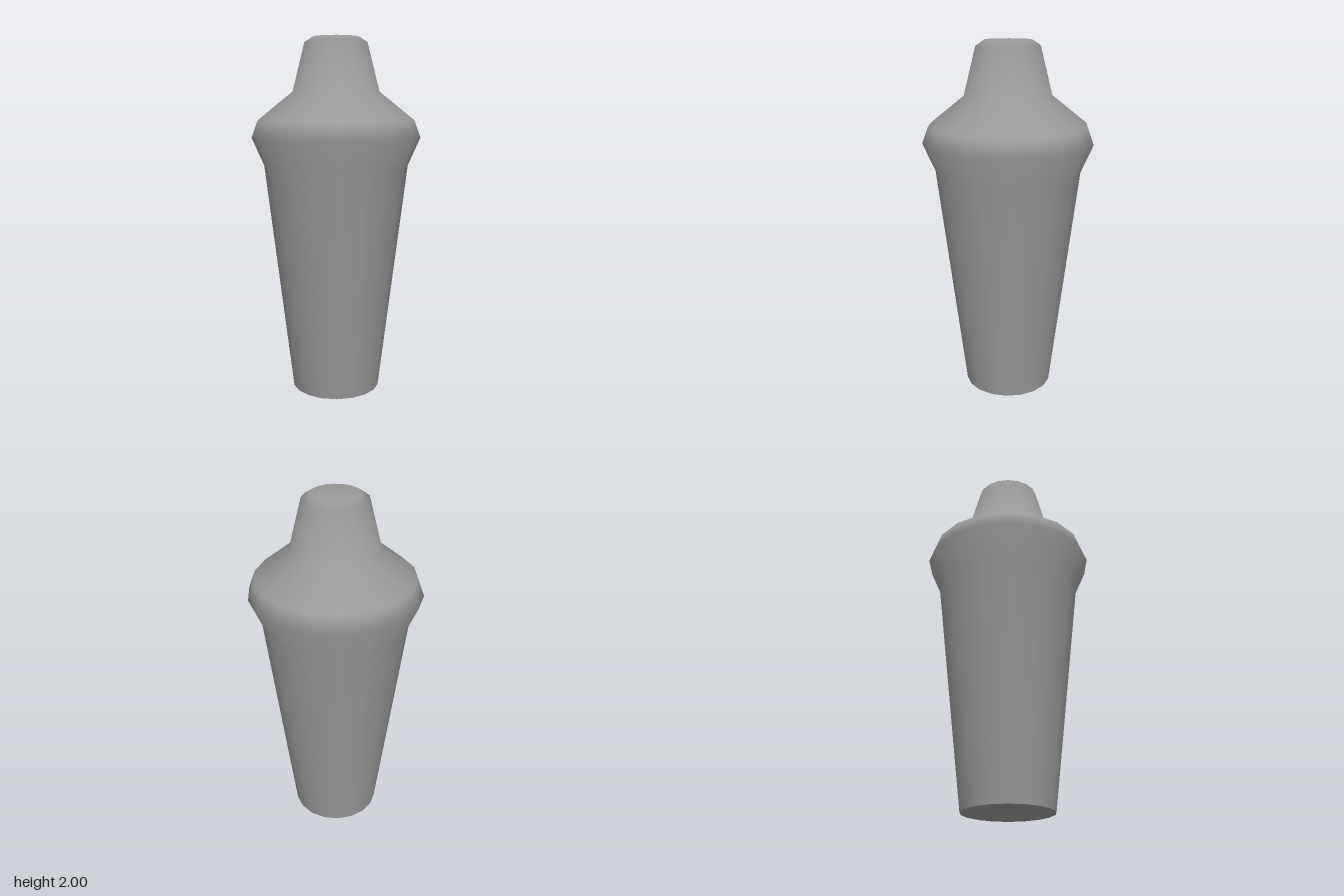
import * as THREE from 'three';
import { mergeVertices } from 'three/addons/utils/BufferGeometryUtils.js';

const SIDES = 18;

export function createModel() {
  const group = new THREE.Group();
  const material = new THREE.MeshStandardMaterial({ color: 0x999999 });

  // Turned body: tapered shaft, bulging shoulder, neck and bevelled top
  const profile = [
    [0.25, 0], [0.405, 1.3], [0.472, 1.455], [0.437, 1.55],
    [0.243, 1.705], [0.175, 1.97], [0.13, 2], [0, 2],
  ].map(([r, y]) => new THREE.Vector2(r, y));
  const lathe = new THREE.LatheGeometry(profile, SIDES, Math.PI / 2);

  // Weld the seam and the top centre, then smooth across all faces
  lathe.deleteAttribute('uv');
  lathe.deleteAttribute('normal');
  const bodyGeometry = mergeVertices(lathe);
  bodyGeometry.computeVertexNormals();
  const body = new THREE.Mesh(bodyGeometry, material);
  body.name = 'body';

  // Flat underside with a sharp rim
  const base = new THREE.Mesh(new THREE.CircleGeometry(profile[0].x, SIDES).rotateX(Math.PI / 2), material);
  base.name = 'base';

  group.add(body, base);
  return group;
}
